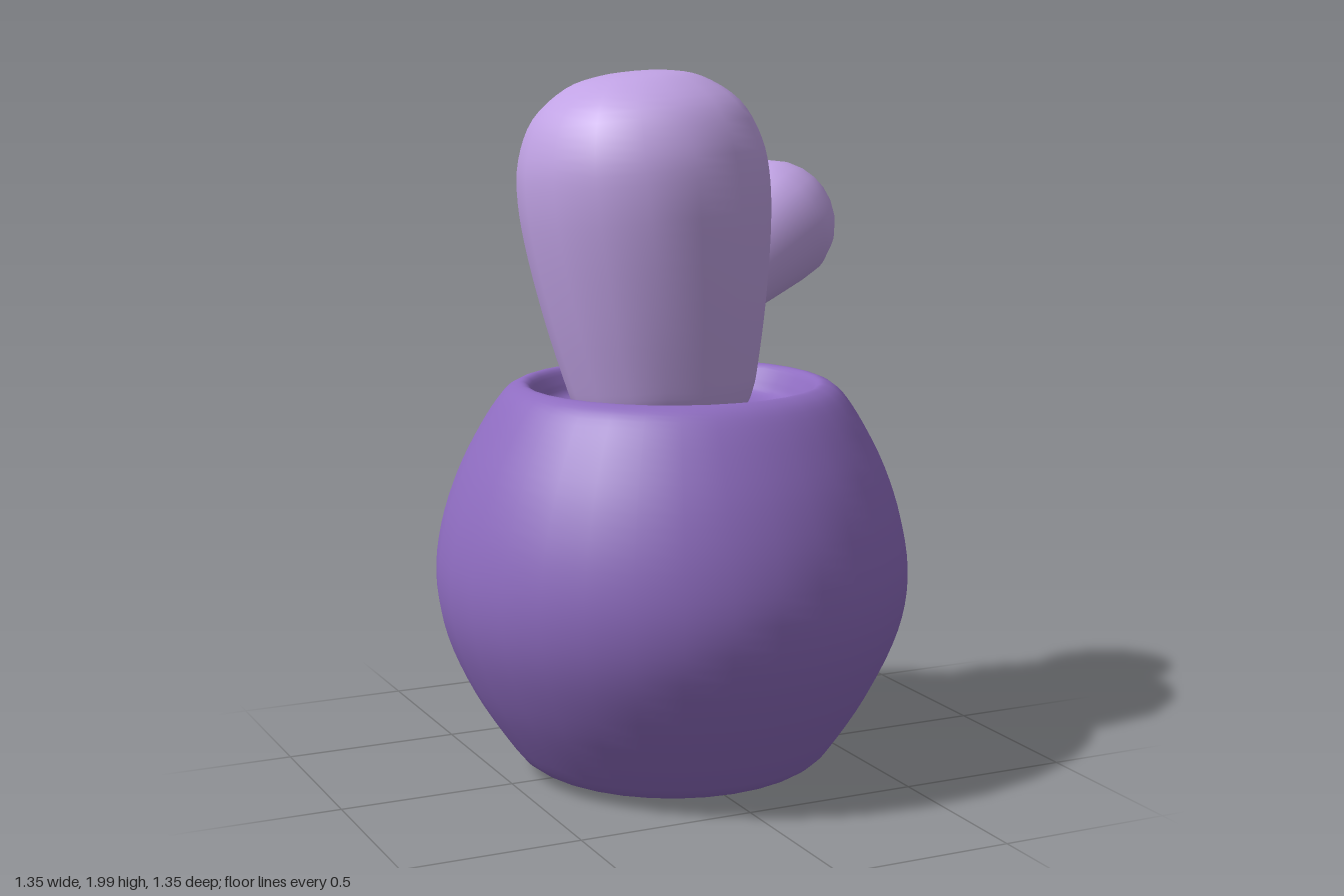
import * as THREE from 'three';

// Smooth lathe from a few [radius, height] points, running bottom to top
function turned(name, points, sides, samples, color) {
  const curve = new THREE.SplineCurve(points.map(([r, y]) => new THREE.Vector2(r, y)));
  const profile = curve.getPoints(samples);
  profile.forEach((p) => { p.x = Math.max(p.x, 0); });
  const mesh = new THREE.Mesh(
    new THREE.LatheGeometry(profile, sides),
    new THREE.MeshStandardMaterial({ color }),
  );
  mesh.name = name;
  return mesh;
}

export function createModel() {
  const model = new THREE.Group();
  model.name = 'pottedCactus';
  const potColor = 0x8e6cc0;
  const cactusColor = 0xc0a2e4;

  // Round pot with a rolled lip and a shallow recessed top
  model.add(turned('pot', [
    [0, 0.005], [0.2, 0.008], [0.36, 0.018], [0.425, 0.04], [0.475, 0.095],
    [0.575, 0.25], [0.65, 0.42], [0.675, 0.57], [0.658, 0.72], [0.61, 0.87],
    [0.545, 1.0], [0.485, 1.09], [0.44, 1.122], [0.41, 1.12], [0.385, 1.085],
    [0.36, 1.05], [0.3, 1.035], [0.15, 1.035], [0, 1.035],
  ], 32, 72, potColor));

  // Main stem, wider towards the top and leaning slightly
  const stem = turned('stem', [
    [0, 0], [0.15, 0.005], [0.225, 0.03], [0.255, 0.08], [0.275, 0.15],
    [0.312, 0.32], [0.343, 0.51], [0.355, 0.66], [0.342, 0.78], [0.29, 0.89],
    [0.19, 0.966], [0.09, 0.992], [0, 0.997],
  ], 16, 48, cactusColor);
  stem.position.set(-0.02, 1.0, 0.005);
  stem.rotation.set(-0.07, 0, 0.07);
  model.add(stem);

  // Side arm: tapered club with a round end, growing out of the stem
  const start = new THREE.Vector3(0.09, 1.335, -0.075);
  const ballCentre = new THREE.Vector3(0.432, 1.532, -0.228);
  const axis = ballCentre.clone().sub(start);
  const length = axis.length();
  const radius = 0.19;
  const profile = [[0, -0.08], [0.08, -0.06], [0.125, 0], [0.15, length * 0.4], [0.178, length * 0.8]];
  for (let i = 0; i <= 6; i++) {
    const a = (i / 6) * Math.PI / 2;
    profile.push([radius * Math.cos(a), length + radius * Math.sin(a)]);
  }
  const arm = turned('sideArm', profile, 20, 40, cactusColor);
  arm.position.copy(start);
  arm.quaternion.setFromUnitVectors(new THREE.Vector3(0, 1, 0), axis.normalize());
  model.add(arm);

  return model;
}
